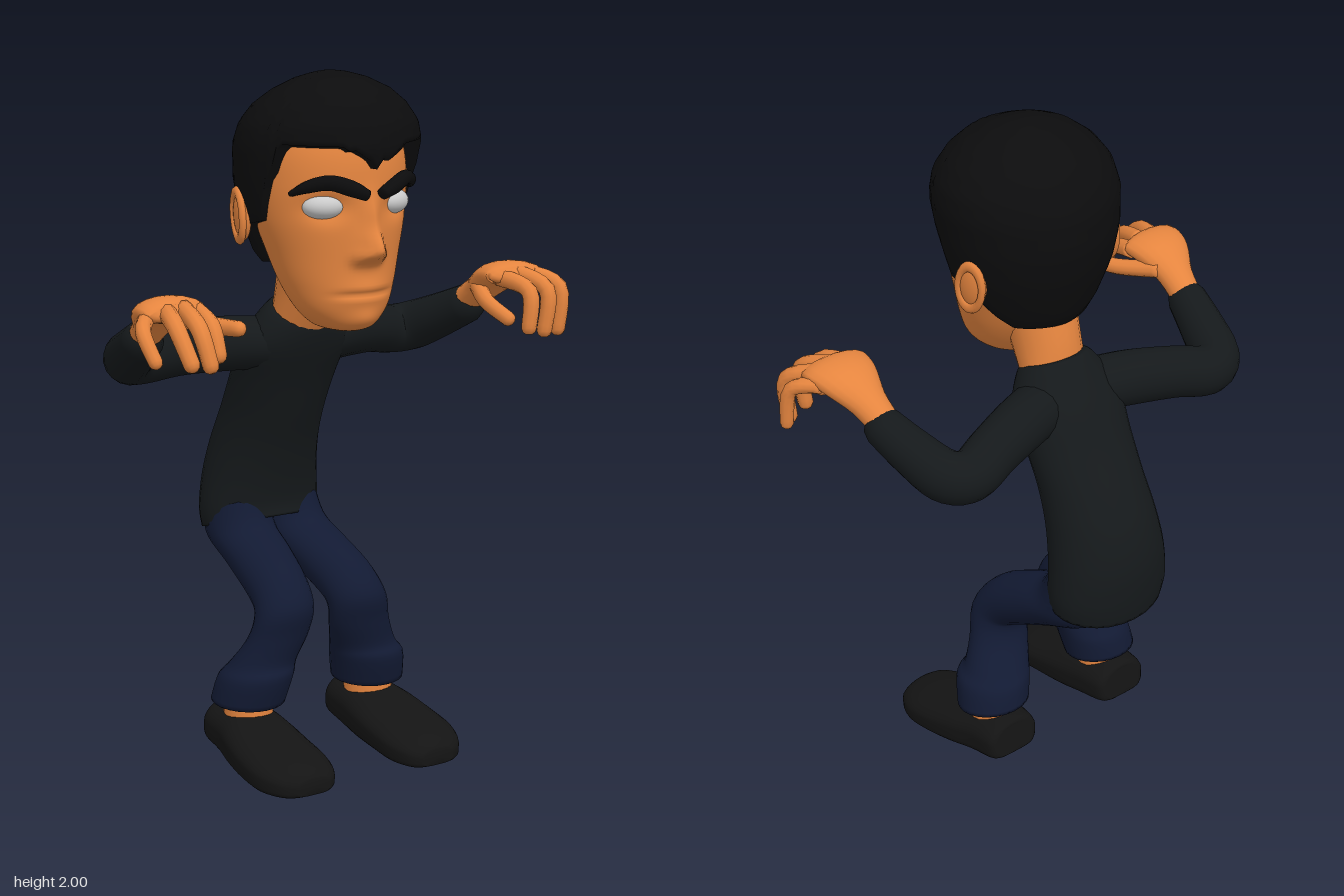
import * as THREE from 'three';

const CX = -0.02; // the body's middle line
const mat = (color) => new THREE.MeshStandardMaterial({ color, roughness: 0.9 });
const SKIN = mat(0xe5853f), SHIRT = mat(0x15191b), HAIR = mat(0x0c0c0d),
  JEANS = mat(0x121a33), SHOE = mat(0x141414), EYE = mat(0xcccccc);
const V = (x, y, z) => new THREE.Vector3(x, y, z);
const bump = (a, p = 2) => Math.exp(-(Math.abs(a) ** p));

// Smooth in-between values of a list of number rows, t from 0 to 1
function blend(keys, t) {
  const f = t * (keys.length - 1), i = Math.min(Math.floor(f), keys.length - 2), k = f - i;
  const at = (n) => keys[Math.max(0, Math.min(keys.length - 1, n))];
  return keys[i].map((b, c) => {
    const a = at(i - 1)[c], d = at(i + 1)[c], e = at(i + 2)[c];
    return b + 0.5 * k * (d - a + k * (2 * a - 5 * b + 4 * d - e + k * (3 * (b - d) + e - a)));
  });
}

// Skin over closed loops of points, both ends capped
function skin(loops) {
  const n = loops[0].length, pts = loops.flat(), index = [];
  for (let i = 0; i < loops.length - 1; i++)
    for (let j = 0; j < n; j++) {
      const a = i * n + j, b = i * n + (j + 1) % n;
      index.push(a, b, b + n, a, b + n, a + n);
    }
  for (const [row, flip] of [[0, true], [loops.length - 1, false]]) {
    const mid = V(0, 0, 0);
    loops[row].forEach((p) => mid.addScaledVector(p, 1 / n));
    pts.push(mid);
    for (let j = 0; j < n; j++) {
      const a = row * n + j, b = row * n + (j + 1) % n;
      index.push(...(flip ? [b, a] : [a, b]), pts.length - 1);
    }
  }
  const g = new THREE.BufferGeometry().setFromPoints(pts);
  g.setIndex(index);
  g.computeVertexNormals();
  return g;
}

// Cross-sections [centre x, half width, y1, z1, y2, z2] between two opposite points
function loft(keys, steps, n, flat = 1, shift = null) {
  const loops = [];
  for (let i = 0; i <= steps; i++) {
    const [x, w, y1, z1, y2, z2] = blend(keys, i / steps);
    const loop = [];
    for (let j = 0; j < n; j++) {
      const a = (j / n) * Math.PI * 2, e = Math.sin(a) < -1e-6 ? flat : 1;
      const c = Math.sign(Math.cos(a)) * Math.abs(Math.cos(a)) ** e;
      const s = Math.sign(Math.sin(a)) * Math.abs(Math.sin(a)) ** e;
      const p = V(x + w * c, (y1 + y2 + (y1 - y2) * s) / 2, (z1 + z2 + (z1 - z2) * s) / 2);
      if (shift) shift(p);
      loop.push(p);
    }
    loops.push(loop);
  }
  return skin(loops);
}

// Tapered limb through [x, y, z, radius along ref, other radius], with a rounded tip
function limb(keys, ref, steps = 16, n = 12) {
  const loops = [];
  const ring = (k, t, grow = 1, push = 0) => {
    const u = ref.clone().addScaledVector(t, -ref.dot(t)).normalize(), w = t.clone().cross(u);
    const c = V(k[0], k[1], k[2]).addScaledVector(t, push);
    loops.push(Array.from({ length: n }, (_, j) => {
      const a = (j / n) * Math.PI * 2;
      return c.clone().addScaledVector(u, k[3] * grow * Math.cos(a)).addScaledVector(w, k[4] * grow * Math.sin(a));
    }));
  };
  let k, t;
  for (let i = 0; i <= steps; i++) {
    k = blend(keys, i / steps);
    const a = blend(keys, Math.max(0, i / steps - 0.01)), b = blend(keys, Math.min(1, i / steps + 0.01));
    t = V(b[0] - a[0], b[1] - a[1], b[2] - a[2]).normalize();
    ring(k, t);
  }
  const r = Math.min(k[3], k[4]);
  ring(k, t, 0.8, r * 0.5);
  ring(k, t, 0.4, r * 0.8);
  return skin(loops);
}

// Face relief: nose, nostrils, sockets, lips, chin
function sculpt(p) {
  if (p.z < 0.12) return;
  const x = p.x - CX, ax = Math.abs(x), y = p.y;
  p.z += 0.068 * bump(x / 0.035) * bump((y - 1.52) / (y < 1.52 ? 0.03 : 0.06))
    + 0.02 * bump(x / 0.025) * bump((y - 1.62) / 0.05)
    + 0.022 * bump((ax - 0.036) / 0.016) * bump((y - 1.505) / 0.02)
    - 0.025 * bump((ax - 0.115) / 0.05) * bump((y - 1.64) / 0.035)
    + 0.012 * bump(x / 0.08) * bump((y - 1.4) / 0.035)
    - 0.013 * bump(x / 0.09, 4) * bump((y - 1.398) / 0.009)
    + 0.012 * bump(x / 0.05) * bump((y - 1.325) / 0.03);
}

const lookup = (table, x, c) => {
  let i = 0;
  while (i < table.length - 2 && x > table[i + 1][0]) i++;
  const [a, b] = [table[i], table[i + 1]];
  return THREE.MathUtils.lerp(a[c], b[c], THREE.MathUtils.clamp((x - a[0]) / (b[0] - a[0]), 0, 1));
};

// Hair cap with a fringe, sideburns and a low nape
function hairCap() {
  const form = [[1.45, 0.18, 0.28, -0.09], [1.5, 0.21, 0.28, -0.112], [1.6, 0.243, 0.29, -0.148],
    [1.7, 0.262, 0.32, -0.168], [1.8, 0.27, 0.338, -0.163], [1.86, 0.258, 0.325, -0.135],
    [1.91, 0.222, 0.295, -0.095], [1.95, 0.17, 0.255, -0.04], [1.98, 0.107, 0.19, 0.02],
    [1.995, 0.05, 0.135, 0.065], [2.0, 0.005, 0.1, 0.09]];
  const hem = [[-0.3, 1.805], [-0.06, 1.765], [0, 1.745], [0.08, 1.775], [0.14, 1.765], [0.4, 1.81],
    [1.1, 1.815], [1.16, 1.74], [1.28, 1.7], [1.34, 1.6], [1.75, 1.58], [1.95, 1.53], [2.3, 1.46], [3.15, 1.45]];
  const n = 96, rows = 26, loops = [];
  for (let i = 0; i <= rows + 1; i++) {
    const v = Math.min(1, i / rows), inset = i > rows ? 0.84 : 1, loop = [];
    for (let j = 0; j < n; j++) {
      const a = (j / n) * Math.PI * 2;
      let turn = Math.PI / 2 - a;
      if (turn < -Math.PI) turn += Math.PI * 2;
      const low = lookup(hem, turn > -0.3 ? turn : -turn, 1);
      const y = 2 - (2 - low) * (0.002 + 0.998 * v ** 2);
      const w = lookup(form, y, 1), f = lookup(form, y, 2), b = lookup(form, y, 3);
      loop.push(V(CX + w * inset * Math.cos(a), y, (f + b) / 2 + ((f - b) / 2) * inset * Math.sin(a)));
    }
    loops.push(loop);
  }
  return skin(loops);
}

// Finger paths: little, ring, middle, index, thumb (distance from the middle line, y, z)
const FINGERS = {
  right: [[[0.65, 1.38, 0.2], [0.7, 1.355, 0.27], [0.695, 1.285, 0.325]],
    [[0.6, 1.395, 0.22], [0.63, 1.37, 0.32], [0.622, 1.28, 0.385]],
    [[0.55, 1.4, 0.22], [0.57, 1.365, 0.335], [0.562, 1.27, 0.38]],
    [[0.5, 1.39, 0.2], [0.508, 1.36, 0.295], [0.51, 1.285, 0.335]],
    [[0.52, 1.36, 0.1], [0.455, 1.345, 0.21], [0.425, 1.345, 0.3]]],
  left: [[[0.65, 1.38, 0.17], [0.705, 1.36, 0.23], [0.715, 1.25, 0.245]],
    [[0.62, 1.395, 0.2], [0.68, 1.36, 0.285], [0.675, 1.235, 0.29]],
    [[0.575, 1.4, 0.21], [0.615, 1.36, 0.31], [0.605, 1.24, 0.315]],
    [[0.525, 1.39, 0.2], [0.55, 1.36, 0.31], [0.54, 1.255, 0.325]],
    [[0.53, 1.36, 0.09], [0.49, 1.32, 0.19], [0.5, 1.28, 0.28]]],
};

export function createModel() {
  const model = new THREE.Group();
  const add = (name, geometry, material) => {
    const m = new THREE.Mesh(geometry, material);
    m.name = name;
    model.add(m);
    return m;
  };
  const X = V(1, 0, 0), Y = V(0, 1, 0);

  // Head, neck, hair
  const face = [[0.06, 1.95, 0.15, 0], [0.17, 1.9, 0.24, -0.08], [0.215, 1.8, 0.288, -0.12], [0.225, 1.7, 0.3, -0.12],
    [0.217, 1.6, 0.295, -0.1], [0.19, 1.5, 0.29, -0.06], [0.165, 1.42, 0.287, -0.02], [0.132, 1.35, 0.28, 0.03],
    [0.085, 1.303, 0.26, 0.07], [0.035, 1.286, 0.22, 0.12]];
  add('head', loft(face.map(([w, y, f, b]) => [CX, w, y, f, y, b]), 80, 88, 1, sculpt), SKIN);
  add('neck', loft([[CX, 0.11, 1.46, 0.15, 1.5, -0.07], [CX, 0.1, 1.36, 0.1, 1.39, -0.098],
    [CX, 0.1, 1.24, 0.03, 1.3, -0.11]], 8, 20), SKIN);
  add('hair', hairCap(), HAIR);

  // Torso in a long jumper
  const trunk = [[0.095, 1.3, 0.035, 1.352, -0.115], [0.125, 1.27, 0.045, 1.325, -0.14], [0.172, 1.2, 0.025, 1.23, -0.205],
    [0.165, 1.1, -0.02, 1.12, -0.265], [0.16, 1, -0.06, 1, -0.338], [0.168, 0.9, -0.1, 0.9, -0.387],
    [0.182, 0.8, -0.13, 0.79, -0.412], [0.193, 0.72, -0.145, 0.68, -0.41], [0.188, 0.68, -0.14, 0.61, -0.4]];
  add('jumper', loft(trunk.map((r) => [CX, ...r]), 32, 28), SHIRT);

  for (const [side, s] of [['left', 1], ['right', -1]]) {
    const at = (o) => CX + s * o;
    const mirror = (rows) => rows.map(([o, ...rest]) => [at(o), ...rest]);

    // Eye, brow, ear
    const eye = add(side + 'Eye', new THREE.SphereGeometry(1, 24, 16), EYE);
    eye.scale.set(0.06, 0.036, 0.042);
    eye.position.set(at(0.114), 1.643, 0.235);
    eye.rotation.y = s * 0.35;
    add(side + 'Brow', limb(mirror([[0.025, 1.675, 0.318, 0.016, 0.018], [0.07, 1.695, 0.312, 0.022, 0.02],
      [0.125, 1.712, 0.285, 0.021, 0.02], [0.17, 1.7, 0.245, 0.017, 0.018], [0.198, 1.68, 0.205, 0.008, 0.012]]), Y), HAIR);
    const ear = new THREE.Group();
    ear.name = side + 'Ear';
    const lobe = new THREE.Mesh(new THREE.SphereGeometry(1, 20, 14), SKIN);
    lobe.scale.set(0.022, 0.07, 0.045);
    const rim = new THREE.Mesh(new THREE.TorusGeometry(0.042, 0.011, 8, 24), SKIN);
    rim.rotation.y = Math.PI / 2;
    rim.scale.set(0.95, 1.55, 1);
    rim.position.x = s * 0.012;
    ear.add(lobe, rim);
    ear.position.set(at(0.238), 1.605, 0.02);
    ear.rotation.set(-0.12, s * 0.25, 0);
    model.add(ear);

    // Sleeve
    add(side + 'Sleeve', limb(mirror([[0.07, 1.215, -0.08, 0.075, 0.085], [0.2, 1.218, -0.13, 0.08, 0.08],
      [0.33, 1.207, -0.175, 0.076, 0.074], [0.43, 1.188, -0.205, 0.074, 0.072], [0.495, 1.198, -0.175, 0.074, 0.072],
      [0.53, 1.24, -0.08, 0.066, 0.066], [0.555, 1.285, 0.015, 0.058, 0.058]]), Y, 28, 18), SHIRT);

    // Hand
    add(side + 'Palm', limb(mirror([[0.55, 1.285, 0, 0.045, 0.042], [0.56, 1.335, 0.07, 0.055, 0.042],
      [0.57, 1.382, 0.14, 0.088, 0.042], [0.575, 1.396, 0.2, 0.1, 0.036], [0.573, 1.39, 0.225, 0.092, 0.026]]), X, 16, 18), SKIN);
    FINGERS[side].forEach((path, i) => {
      const r = i === 0 ? 0.023 : 0.026;
      add(side + (i === 4 ? 'Thumb' : 'Finger' + (i + 1)),
        limb(mirror(path.map((p, k) => [...p, r - k * 0.002, r - k * 0.002])), X, 10, 10), SKIN);
    });

    // Trouser leg, bent at the knee with a flared cuff
    add(side + 'TrouserLeg', loft(mirror([[0.08, 0.1, 0.74, -0.17, 0.68, -0.37], [0.09, 0.1, 0.665, -0.13, 0.6, -0.34],
      [0.1, 0.095, 0.622, -0.04, 0.53, -0.2], [0.115, 0.09, 0.565, 0.065, 0.45, -0.045],
      [0.127, 0.092, 0.48, 0.13, 0.425, -0.015], [0.143, 0.096, 0.39, 0.118, 0.37, -0.025],
      [0.175, 0.102, 0.31, 0.105, 0.3, -0.07], [0.195, 0.112, 0.268, 0.118, 0.262, -0.097],
      [0.21, 0.111, 0.18, 0.095, 0.2, -0.11]]), 36, 24), JEANS);

    // Ankle and shoe
    const ankle = add(side + 'Ankle', new THREE.CylinderGeometry(0.07, 0.075, 0.12, 20), SKIN);
    ankle.position.set(at(0.212), 0.16, -0.005);
    add(side + 'Shoe', loft(mirror([[0.215, 0.06, 0.15, -0.112, 0.058, -0.122], [0.215, 0.088, 0.17, -0.1, 0.048, -0.105],
      [0.215, 0.1, 0.17, 0, 0.035, -0.02], [0.22, 0.114, 0.155, 0.07, 0.02, 0.07], [0.225, 0.122, 0.128, 0.16, 0.01, 0.16],
      [0.225, 0.12, 0.105, 0.25, 0, 0.25], [0.22, 0.092, 0.08, 0.32, 0, 0.32], [0.215, 0.05, 0.055, 0.35, 0.008, 0.35]]),
    24, 28, 0.45), SHOE);
  }
  return model;
}
